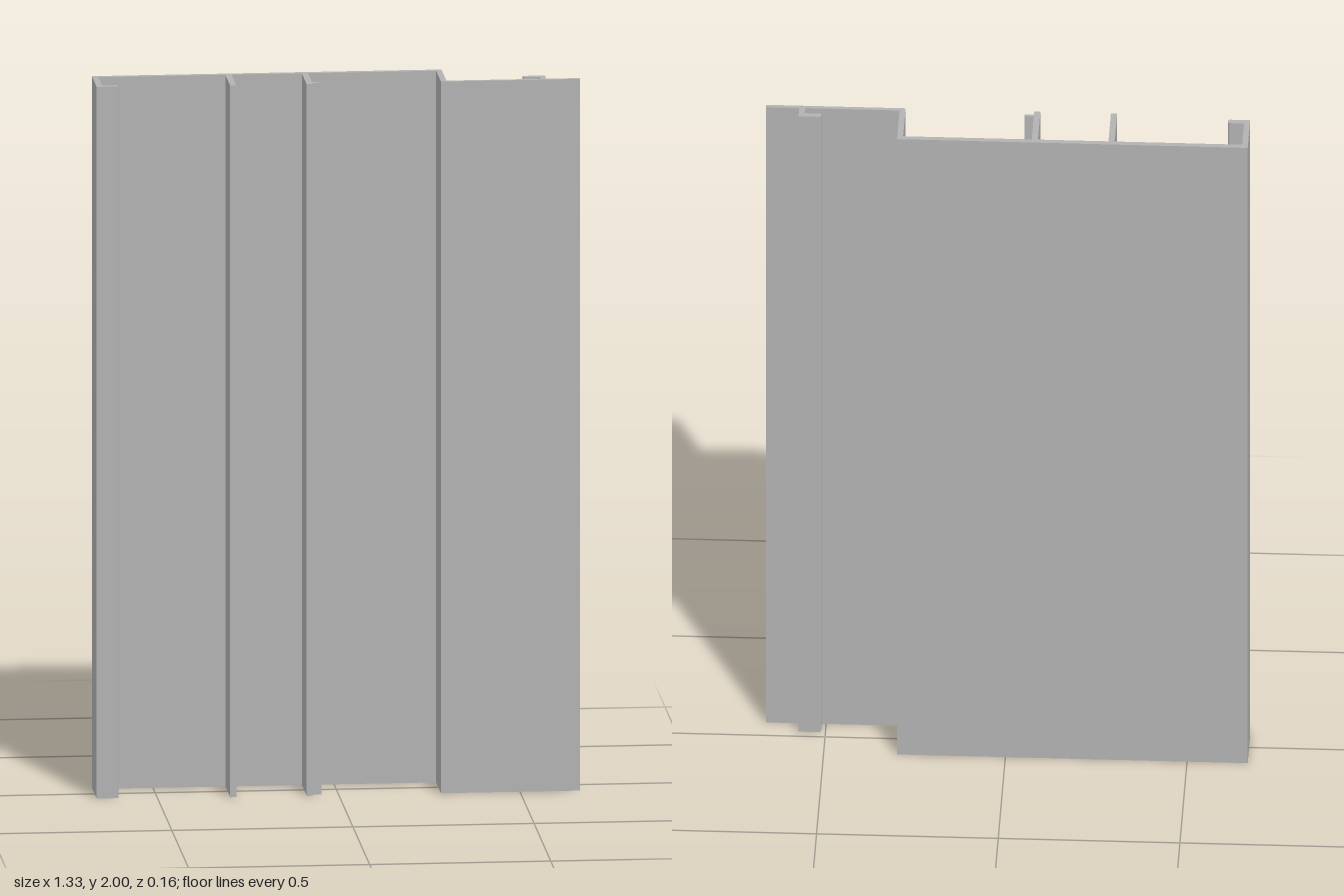
import * as THREE from 'three';

const HEIGHT = 2;

// Extrudes a plan outline of [x, z] points up the full height
function extrusion(name, outline, material) {
  const shape = new THREE.Shape(outline.map(([x, z]) => new THREE.Vector2(x, -z)));
  const geometry = new THREE.ExtrudeGeometry(shape, { depth: HEIGHT, bevelEnabled: false });
  geometry.rotateX(-Math.PI / 2);
  const mesh = new THREE.Mesh(geometry, material);
  mesh.name = name;
  return mesh;
}

const rect = (x0, x1, z0, z1) => [[x0, z0], [x1, z0], [x1, z1], [x0, z1]];

export function createModel() {
  const group = new THREE.Group();
  group.name = 'wallProfile';
  const metal = new THREE.MeshStandardMaterial({ color: 0xb2b2b2 });
  metal.name = 'grey metal';

  const back = -0.081, front = 0.079, inner = -0.065;

  // Stepped sheet: lipped side wall, back panel, step and front flange
  group.add(extrusion('steppedPanel', [
    [-0.667, back], [0.298, back], [0.298, 0.067], [0.666, 0.067], [0.666, front],
    [0.282, front], [0.282, inner], [-0.651, inner], [-0.651, 0.044],
    [-0.611, 0.044], [-0.607, 0.048], [-0.607, 0.058], [-0.611, 0.062], [-0.667, 0.062],
  ], metal));

  // Two stiffening fins standing forward from the panel
  group.add(extrusion('outerFin', rect(-0.3, -0.283, inner, front), metal));
  group.add(extrusion('middleFin', rect(-0.089, -0.072, inner, front), metal));

  // Small bead on the middle fin
  group.add(extrusion('finBead', rect(-0.072, -0.046, 0.054, 0.063), metal));

  // Hook on the back of the flange
  group.add(extrusion('flangeHook', [
    [0.516, 0.024], [0.574, 0.024], [0.574, 0.067], [0.557, 0.067], [0.557, 0.041],
    [0.516, 0.041], [0.512, 0.037], [0.512, 0.028],
  ], metal));

  return group;
}
